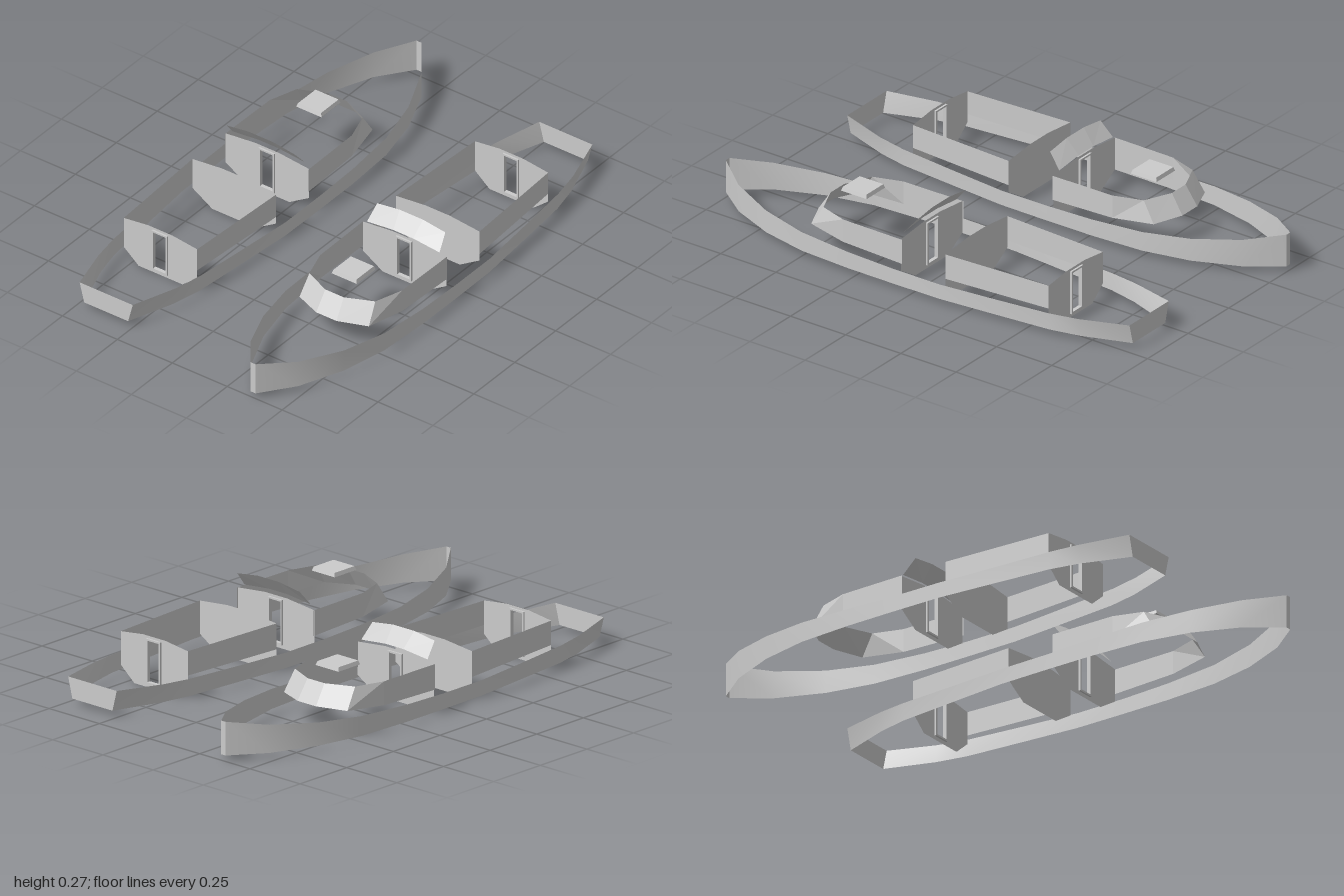
import * as THREE from 'three';

const smooth = new THREE.MeshStandardMaterial({ color: 0xcccccc, side: THREE.DoubleSide });
const flat = new THREE.MeshStandardMaterial({ color: 0xcccccc, side: THREE.DoubleSide, flatShading: true });

function add(parent, geometry, material, name) {
  const mesh = new THREE.Mesh(geometry, material);
  mesh.name = name;
  parent.add(mesh);
  return mesh;
}

// Open band of quads between a lower and an upper row of [x, y, z] points
function band(lower, upper) {
  const index = [];
  for (let i = 0; i < lower.length - 1; i++) {
    const a = i, b = i + 1, c = lower.length + i, d = c + 1;
    index.push(a, b, d, a, d, c);
  }
  const g = new THREE.BufferGeometry();
  g.setAttribute('position', new THREE.Float32BufferAttribute([...lower, ...upper].flat(), 3));
  g.setIndex(index);
  g.computeVertexNormals();
  return g;
}

// Stations of one side, continued across the centreline to the other side
const mirrored = (row) => [...row, ...row.map(([x, y, z]) => [x, y, -z]).reverse()];

// Hull stations from stern to bow: x, half width below, half width above, sheer height
const STATIONS = [
  [-0.91, 0.1, 0.121, 0.104], [-0.72, 0.167, 0.176, 0.095], [-0.6, 0.193, 0.197, 0.091],
  [-0.35, 0.216, 0.218, 0.086], [-0.13, 0.235, 0.236, 0.083], [0.08, 0.237, 0.237, 0.084],
  [0.28, 0.236, 0.237, 0.09], [0.5, 0.224, 0.225, 0.1], [0.69, 0.183, 0.184, 0.113],
  [0.87, 0.108, 0.109, 0.132], [1, 0.011, 0.011, 0.153],
];
const HULL_BOTTOM = 0.023;

function addHull(boat) {
  const low = STATIONS.map(([x, w]) => [x, HULL_BOTTOM, w]);
  const high = STATIONS.map(([x, , w, y]) => [x, y, w]);
  const flip = ([x, y, z]) => [x, y, -z];
  add(boat, band(low, high), smooth, 'hullSide');
  add(boat, band(low.map(flip), high.map(flip)), smooth, 'hullSide');
  // Flat transom and narrow stem
  for (const [i, name] of [[0, 'transom'], [low.length - 1, 'stem']]) {
    add(boat, band([low[i], flip(low[i])], [high[i], flip(high[i])]), flat, name);
  }
}

function doorRect(path, half, bottom, top) {
  path.moveTo(-half, bottom);
  path.lineTo(half, bottom);
  path.lineTo(half, top);
  path.lineTo(-half, top);
  path.closePath();
  return path;
}

// Crowned bulkhead with a chamfered bottom, optionally pierced by a framed doorway
function addBulkhead(boat, x, w, hasDoor) {
  const side = [[0.1, 0], [w, 0.056], [w, 0.185], [0.055, 0.199]];
  const outline = [...side, ...side.map(([z, y]) => [-z, y]).reverse()];
  const shape = new THREE.Shape(outline.map(([z, y]) => new THREE.Vector2(z, y)));
  if (hasDoor) {
    shape.holes.push(doorRect(new THREE.Path(), 0.034, 0.016, 0.188));
    const frame = doorRect(new THREE.Shape(), 0.035, 0.015, 0.189);
    frame.holes.push(doorRect(new THREE.Path(), 0.028, 0.022, 0.182));
    const g = new THREE.ExtrudeGeometry(frame, { depth: 0.015, bevelEnabled: false });
    g.translate(0, 0, -0.0075).rotateY(Math.PI / 2);
    add(boat, g, flat, 'doorFrame').position.x = x;
  }
  const panel = new THREE.ShapeGeometry(shape).rotateY(Math.PI / 2);
  add(boat, panel, flat, 'bulkhead').position.x = x;
}

function addCabins(boat) {
  // Forward cabin trunk with a raked, faceted nose
  add(boat, band(
    mirrored([[0.07, 0.086, 0.19], [0.34, 0.093, 0.187], [0.505, 0.105, 0.158], [0.553, 0.109, 0.046]]),
    mirrored([[0.07, 0.185, 0.19], [0.34, 0.185, 0.187], [0.455, 0.185, 0.15], [0.503, 0.185, 0.042]]),
  ), flat, 'forwardCabinTrunk');
  addBulkhead(boat, 0.075, 0.19, true);

  // Aft cabin: straight sides tapering toward the stern
  for (const s of [1, -1]) {
    add(boat, band(
      [[-0.578, 0.091, s * 0.167], [-0.128, 0.085, s * 0.19]],
      [[-0.578, 0.185, s * 0.167], [-0.128, 0.185, s * 0.19]],
    ), flat, 'aftCabinSide');
  }
  addBulkhead(boat, -0.128, 0.19, false);
  addBulkhead(boat, -0.578, 0.167, true);
}

function addDeckFittings(boat) {
  // Raked three-panel windshield
  add(boat, band(
    mirrored([[0.083, 0.2, 0.165], [0.083, 0.212, 0.045]]),
    mirrored([[0.034, 0.258, 0.155], [0.034, 0.272, 0.053]]),
  ), flat, 'windshield');

  // Roof hatch, slightly smaller at its top
  const hatch = new THREE.BoxGeometry(0.116, 0.015, 0.114);
  const p = hatch.attributes.position;
  for (let i = 0; i < p.count; i++) {
    if (p.getY(i) > 0) p.setXYZ(i, p.getX(i) * 0.92, p.getY(i), p.getZ(i) * 0.92);
  }
  add(boat, hatch, flat, 'roofHatch').position.set(0.386, 0.225, 0);
}

function createBoat(name) {
  const boat = new THREE.Group();
  boat.name = name;
  addHull(boat);
  addCabins(boat);
  addDeckFittings(boat);
  return boat;
}

export function createModel() {
  const model = new THREE.Group();
  model.name = 'boatPair';
  // Two equal boats side by side, pointing opposite ways
  const back = createBoat('backBoat');
  back.position.z = -0.368;
  const front = createBoat('frontBoat');
  front.position.z = 0.368;
  front.rotation.y = Math.PI;
  model.add(back, front);
  return model;
}
